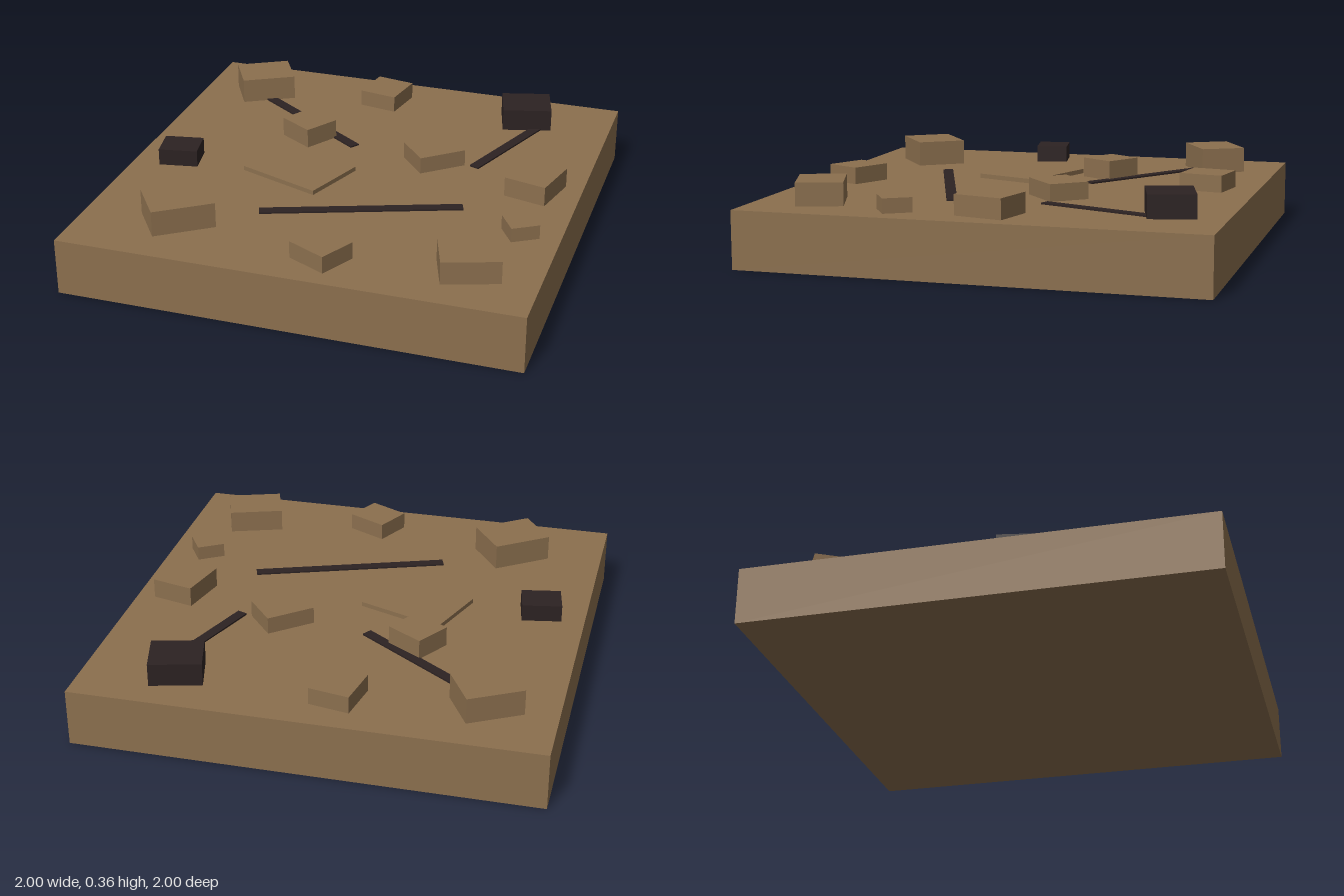
import * as THREE from 'three';

export function createModel() {
  const model = new THREE.Group();
  const earth = new THREE.MeshStandardMaterial({ color: 0x8b6f4e });
  earth.name = 'earth brown';
  const charred = new THREE.MeshStandardMaterial({ color: 0x2c2222 });
  charred.name = 'charred black';

  const BASE = 0.25;

  // A box standing on height y, turned about its vertical axis
  function block(name, material, x, z, width, depth, height, turn = 0, y = BASE) {
    const mesh = new THREE.Mesh(new THREE.BoxGeometry(width, height, depth), material);
    mesh.name = name;
    mesh.position.set(x, y + height / 2, z);
    mesh.rotation.y = turn;
    model.add(mesh);
  }

  // Square ground slab
  block('groundSlab', earth, 0, 0, 2, 2, BASE, 0, 0);

  // Scattered rubble: x, z, width, depth, height, turn
  const rubble = [
    [-0.7, -0.7, 0.25, 0.205, 0.113, 0.51],
    [-0.1, -0.775, 0.18, 0.195, 0.075, -0.18],
    [-0.325, -0.28, 0.18, 0.17, 0.088, -0.555],
    [0.3, -0.2, 0.22, 0.18, 0.075, 0.7],
    [0.8, -0.05, 0.193, 0.22, 0.088, -0.24],
    [0.825, 0.35, 0.125, 0.125, 0.063, 0.555],
    [0.7, 0.725, 0.246, 0.2, 0.1, 0.33],
    [0.1, 0.8, 0.19, 0.172, 0.075, -0.46],
    [-0.58, 0.675, 0.272, 0.222, 0.113, 0.62],
  ];
  for (const r of rubble) block('rubbleBlock', earth, ...r);

  // Low flat slab near the middle
  block('flatSlab', earth, -0.25, 0.075, 0.4, 0.3, 0.02, -0.35);

  // Burnt blocks
  block('charredBlock', charred, 0.6, -0.75, 0.225, 0.2, 0.1, 0.26);
  block('charredBlock', charred, -0.8, 0.125, 0.175, 0.145, 0.075, 0.18);

  // Thin dark cracks lying on the ground
  const cracks = [
    [-0.377, -0.436, 0.7, -0.61],
    [0.583, -0.449, 0.55, 1.22],
    [0.128, 0.35, 0.875, 0.35],
  ];
  for (const [x, z, length, turn] of cracks) {
    block('groundCrack', charred, x, z, length, 0.046, 0.007, turn);
  }

  return model;
}
